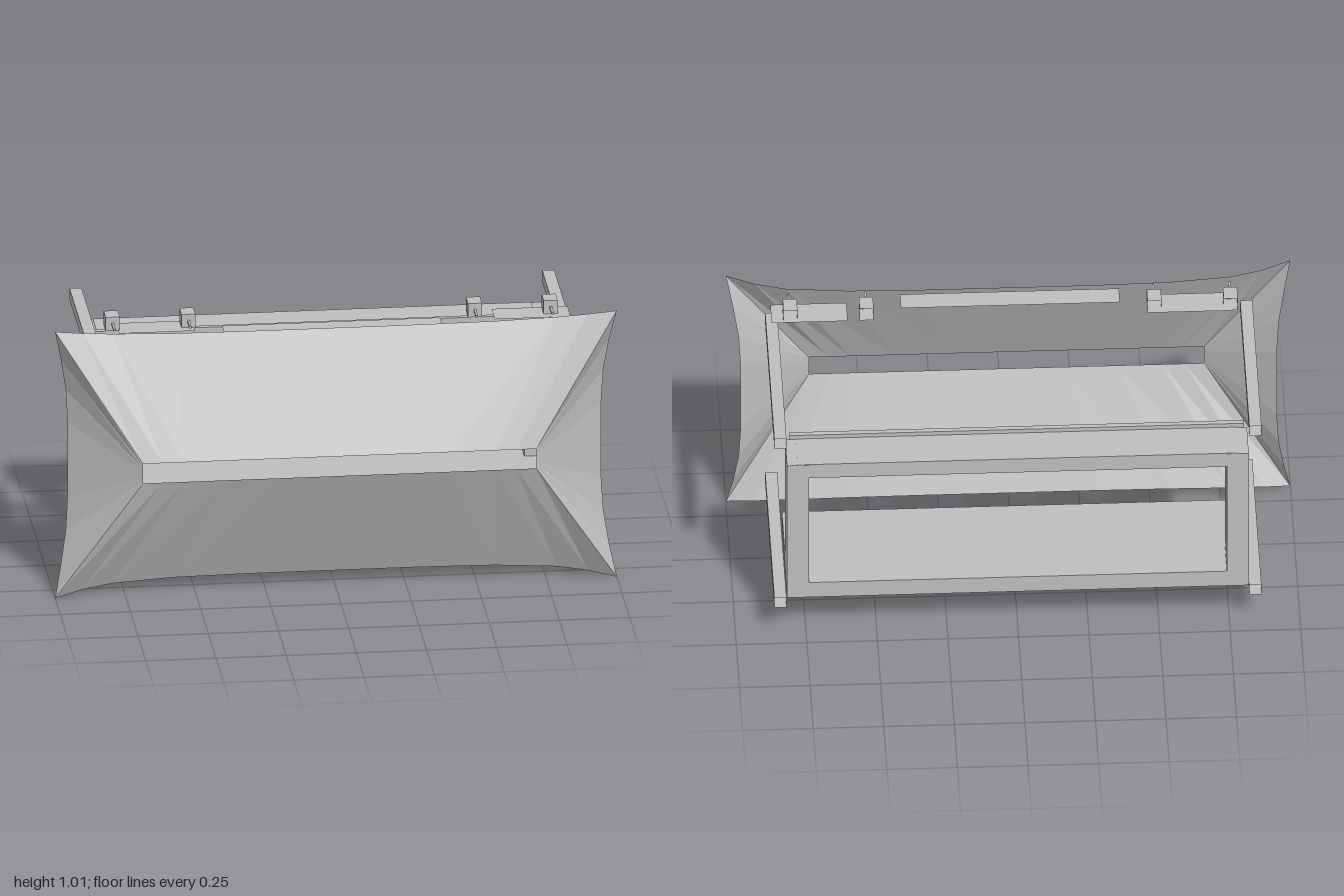
import * as THREE from 'three';

const grey = new THREE.MeshStandardMaterial({ color: 0xbfbfbf });
grey.name = 'plain grey';
grey.flatShading = true;
grey.side = THREE.DoubleSide;

const MID = 0.507; // height of the shell's centre line

export function createModel() {
  const model = new THREE.Group();
  const add = (name, geometry) => {
    const mesh = new THREE.Mesh(geometry, grey);
    mesh.name = name;
    model.add(mesh);
    return mesh;
  };
  // Box given by its limits on each axis
  const box = (name, [x0, x1], [y0, y1], [z0, z1]) =>
    add(name, new THREE.BoxGeometry(x1 - x0, y1 - y0, z1 - z0)
      .translate((x0 + x1) / 2, (y0 + y1) / 2, (z0 + z1) / 2));
  // Box without its end faces along z
  const tube = (name, x, y, z, openFront) => {
    const mesh = box(name, x, y, z);
    const index = Array.from(mesh.geometry.index.array).slice(0, 24);
    if (!openFront) index.push(...Array.from(mesh.geometry.index.array).slice(24, 30));
    mesh.geometry.clearGroups();
    mesh.geometry.setIndex(index);
  };
  // Thin horizontal plate
  const plate = (name, [x0, x1], [z0, z1], y) =>
    add(name, new THREE.PlaneGeometry(x1 - x0, z1 - z0).rotateX(-Math.PI / 2)
      .translate((x0 + x1) / 2, y, (z0 + z1) / 2));

  // Front shell: four ruled panels from a flared rim to a narrow slot
  const halfLong = [[1, 0.503, 0.335], [0.9, 0.484, 0.308], [0.79, 0.471, 0.291], [0.57, 0.461, 0.282], [0.3, 0.458, 0.28]];
  const halfShort = [[1, 0.503, 0.335], [0.976, 0.385, 0.302], [0.957, 0.265, 0.286], [0.95, 0.14, 0.28]];
  const longEdge = [...halfLong, ...halfLong.map(([x, y, z]) => [-x, y, z]).reverse()];
  const shortEdge = [...halfShort.map(([x, y, z]) => [x, -y, z]).reverse(), ...halfShort];
  shortEdge.sort((a, b) => a[1] - b[1]);
  const panel = (name, rim, slotPoint, turn) => {
    const pos = [];
    for (let i = 0; i < rim.length - 1; i++) {
      const quad = [rim[i], rim[i + 1], slotPoint(rim[i + 1]), slotPoint(rim[i])];
      for (const k of [0, 1, 2, 0, 2, 3]) {
        const [x, y, z] = quad[k];
        pos.push(turn * x, MID + turn * y, z);
      }
    }
    const geometry = new THREE.BufferGeometry();
    geometry.setAttribute('position', new THREE.Float32BufferAttribute(pos, 3));
    geometry.computeVertexNormals();
    add(name, geometry);
  };
  const onLongSlot = ([x]) => [x * 0.7, 0.037, 0.455];
  const onShortSlot = ([, y]) => [0.7, y * 0.037 / 0.503, 0.455];
  panel('shellTop', longEdge, onLongSlot, 1);
  panel('shellBottom', longEdge, onLongSlot, -1);
  panel('shellLeft', shortEdge, onShortSlot, 1);
  panel('shellRight', shortEdge, onShortSlot, -1);

  for (const s of [-1, 1]) {
    const span = (a, b) => (s > 0 ? [a, b] : [-b, -a]);
    // Hollow rails running back from the shell
    tube('upperRail', span(0.82, 0.863), [0.835, 0.878], [-0.452, 0.282], true);
    tube('lowerRail', span(0.82, 0.863), [0.127, 0.17], [-0.452, 0.282], true);
    // Rear posts
    box('post', span(0.74, 0.818), [0.235, 0.758], [-0.452, -0.3]);
    // Small blocks with thin pins
    for (const x of [0.51, 0.78]) {
      tube('block', [s * x - 0.025, s * x + 0.025], [0.953, 1.005], [0.128, 0.195], false);
      box('pin', [s * x - 0.004, s * x + 0.004], [0.975, 0.983], [0.195, 0.257]);
    }
  }

  // Rear frame
  box('base', [-0.818, 0.818], [0.17, 0.235], [-0.452, -0.037]);
  box('topBeam', [-0.78, 0.78], [0.7, 0.76], [-0.451, -0.3]);
  box('frontBoard', [-0.808, 0.804], [0.625, 0.775], [-0.299, -0.28]);

  // Thin plates behind the top edge of the shell
  plate('middlePlate', [-0.39, 0.386], [0.19, 0.27], 0.955);
  plate('rightPlate', [-0.76, -0.49], [0.124, 0.23], 0.955);
  plate('leftPlate', [0.577, 0.847], [0.124, 0.23], 0.955);

  return model;
}
